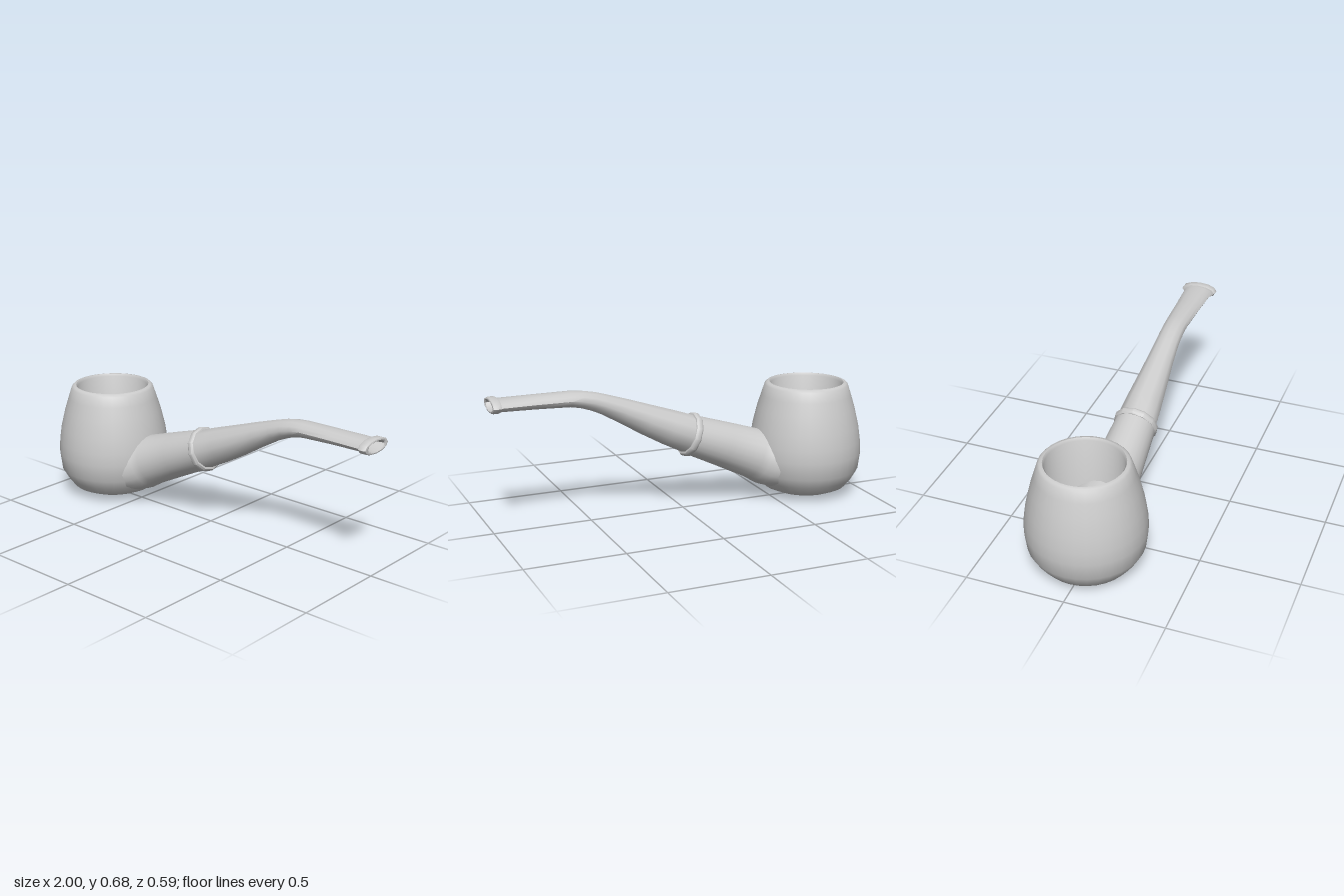
import * as THREE from 'three';
import { toCreasedNormals } from 'three/addons/utils/BufferGeometryUtils.js';

const SIDES = 12;
const material = new THREE.MeshStandardMaterial({ color: 0xcccccc });

function addPart(group, name, geometry, crease) {
  const mesh = new THREE.Mesh(toCreasedNormals(geometry, crease), material);
  mesh.name = name;
  group.add(mesh);
  return mesh;
}

// Sweeps elliptical sections [x, y, radius in the bend plane, radius across, tilt]
function sweep(sections, sides = SIDES) {
  const positions = [], index = [];
  sections.forEach(([x, y, a, b, tilt], i) => {
    for (let j = 0; j < sides; j++) {
      const t = (j / sides) * Math.PI * 2;
      const up = a * Math.cos(t);
      positions.push(x - up * Math.sin(tilt), y + up * Math.cos(tilt), b * Math.sin(t));
      if (i === sections.length - 1) continue;
      const p = i * sides + j, q = i * sides + (j + 1) % sides;
      index.push(p, q, p + sides, q, q + sides, p + sides);
    }
  });
  const geometry = new THREE.BufferGeometry();
  geometry.setAttribute('position', new THREE.Float32BufferAttribute(positions, 3));
  geometry.setIndex(index);
  geometry.computeVertexNormals();
  return geometry;
}

export function createModel() {
  const pipe = new THREE.Group();
  pipe.name = 'pipe';

  // Bowl: outer wall, rounded rim and hollow chamber
  const profile = [
    [0, 0.002], [0.09, 0.008], [0.165, 0.026], [0.22, 0.05], [0.255, 0.094],
    [0.284, 0.145], [0.295, 0.235], [0.291, 0.3], [0.28, 0.375], [0.257, 0.47],
    [0.235, 0.54], [0.218, 0.592], [0.208, 0.602], [0.194, 0.605], [0.186, 0.592],
    [0.186, 0.27], [0.165, 0.2], [0.11, 0.155], [0, 0.14],
  ].map(([r, y]) => new THREE.Vector2(r, y));
  addPart(pipe, 'bowl', new THREE.LatheGeometry(profile, 32), 0.8).position.x = -0.705;

  // Shank, flaring where it grows out of the bowl
  addPart(pipe, 'shank', sweep([
    [-0.53, 0.205, 0.15, 0.2, 0.37],
    [-0.465, 0.225, 0.15, 0.165, 0.37],
    [-0.43, 0.235, 0.14, 0.143, 0.37],
    [-0.395, 0.248, 0.132, 0.129, 0.37],
    [-0.22, 0.318, 0.117, 0.117, 0.37],
    [-0.04, 0.388, 0.102, 0.105, 0.36],
  ], 24), 0.8);

  // Ring between shank and stem
  const ringTilt = 0.35;
  const ringProfile = [[-0.02, 0.09], [-0.018, 0.108], [-0.009, 0.115], [0.009, 0.115], [0.018, 0.108], [0.02, 0.09]];
  addPart(pipe, 'ring', sweep(ringProfile.map(([d, r]) => [
    -0.038 + d * Math.cos(ringTilt), 0.389 + d * Math.sin(ringTilt), r, r, ringTilt,
  ])), 0.8);

  // Stem, bending level and flattening toward the mouthpiece
  addPart(pipe, 'stem', sweep([
    [-0.04, 0.389, 0.1, 0.104, 0.36],
    [0.08, 0.441, 0.091, 0.095, 0.42],
    [0.2, 0.494, 0.078, 0.083, 0.42],
    [0.32, 0.55, 0.063, 0.071, 0.43],
    [0.42, 0.594, 0.051, 0.064, 0.4],
    [0.48, 0.616, 0.047, 0.062, 0.31],
    [0.54, 0.631, 0.043, 0.061, 0.2],
    [0.6, 0.639, 0.039, 0.062, 0.08],
    [0.78, 0.643, 0.034, 0.069, 0.015],
    [0.965, 0.645, 0.03, 0.078, 0],
  ]), 0.8);

  // Mouthpiece lip with its recessed bore
  addPart(pipe, 'mouthpieceLip', sweep([
    [0.955, 0.646, 0.028, 0.074],
    [0.957, 0.647, 0.034, 0.09],
    [0.965, 0.647, 0.037, 0.095],
    [0.99, 0.647, 0.037, 0.095],
    [0.998, 0.647, 0.034, 0.09],
    [1.0, 0.647, 0.028, 0.078],
    [0.996, 0.647, 0.024, 0.066],
    [0.9, 0.645, 0.02, 0.05],
    [0.84, 0.644, 0.012, 0.03],
    [0.83, 0.644, 0.0005, 0.0005],
  ].map((s) => [...s, 0])), 0.8);

  return pipe;
}
